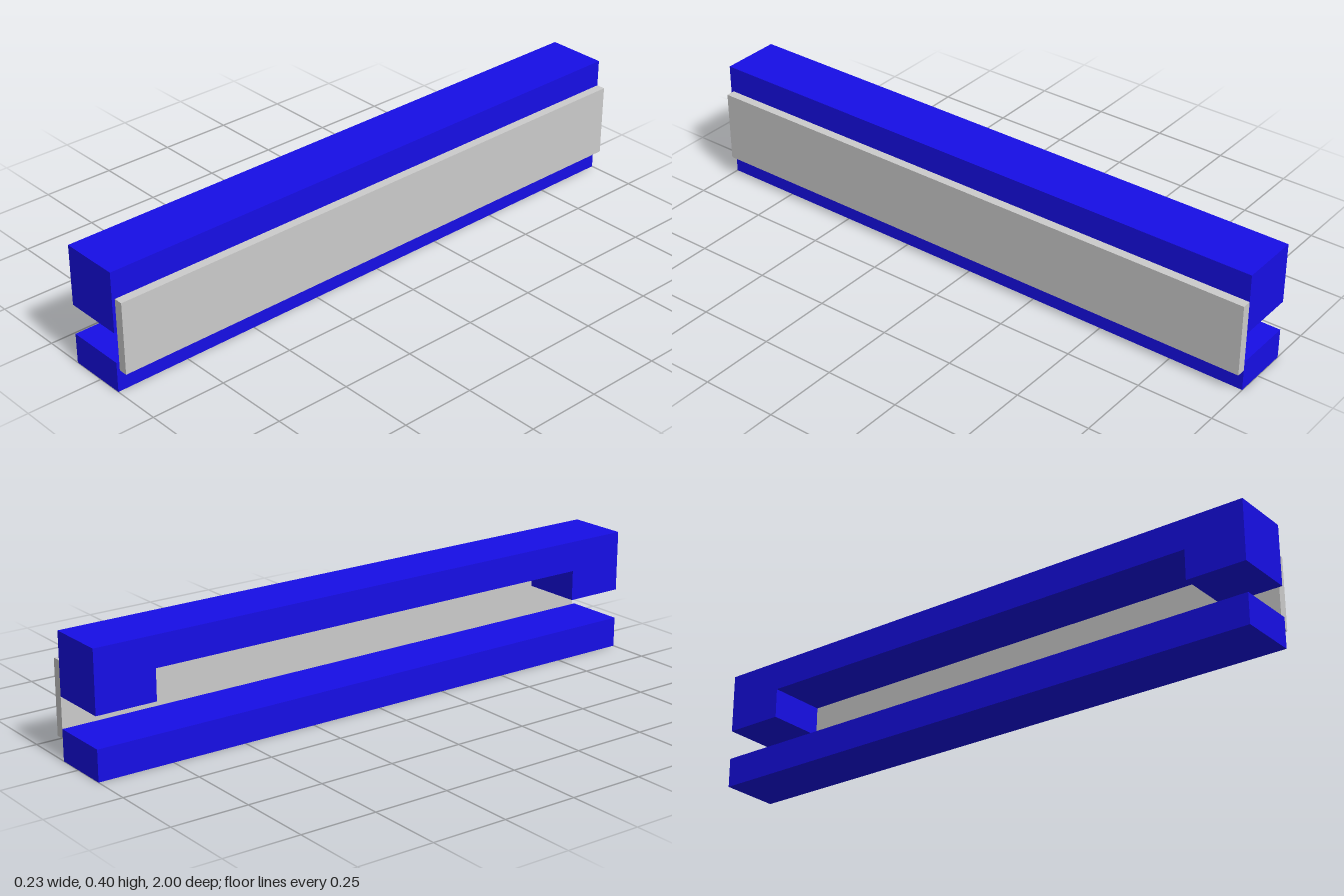
import * as THREE from 'three';

export function createModel() {
  const group = new THREE.Group();
  const blue = new THREE.MeshStandardMaterial({ color: 0x170ee6 });
  const grey = new THREE.MeshStandardMaterial({ color: 0xcccccc });
  const beamWidth = 0.2, beamX = -0.015;

  function add(name, geometry, material, x, y, z) {
    const mesh = new THREE.Mesh(geometry, material);
    mesh.name = name;
    mesh.position.set(x, y, z);
    group.add(mesh);
    return mesh;
  }

  // Solid lower beam
  add('lowerBeam', new THREE.BoxGeometry(beamWidth, 0.1, 2), blue, beamX, 0.05, 0);

  // Upper beam, thinner between its two end blocks
  const profile = new THREE.Shape([
    [-1, 0.2], [-0.8, 0.2], [-0.8, 0.3], [0.8, 0.3],
    [0.8, 0.2], [1, 0.2], [1, 0.4], [-1, 0.4],
  ].map(([z, y]) => new THREE.Vector2(z, y)));
  const upper = new THREE.ExtrudeGeometry(profile, { depth: beamWidth, bevelEnabled: false });
  upper.translate(0, 0, -beamWidth / 2);
  upper.rotateY(Math.PI / 2);
  add('upperBeam', upper, blue, beamX, 0, 0);

  // Side plate joining the beams
  add('sidePlate', new THREE.BoxGeometry(0.03, 0.24, 1.99), grey, 0.1, 0.19, -0.005);

  return group;
}
